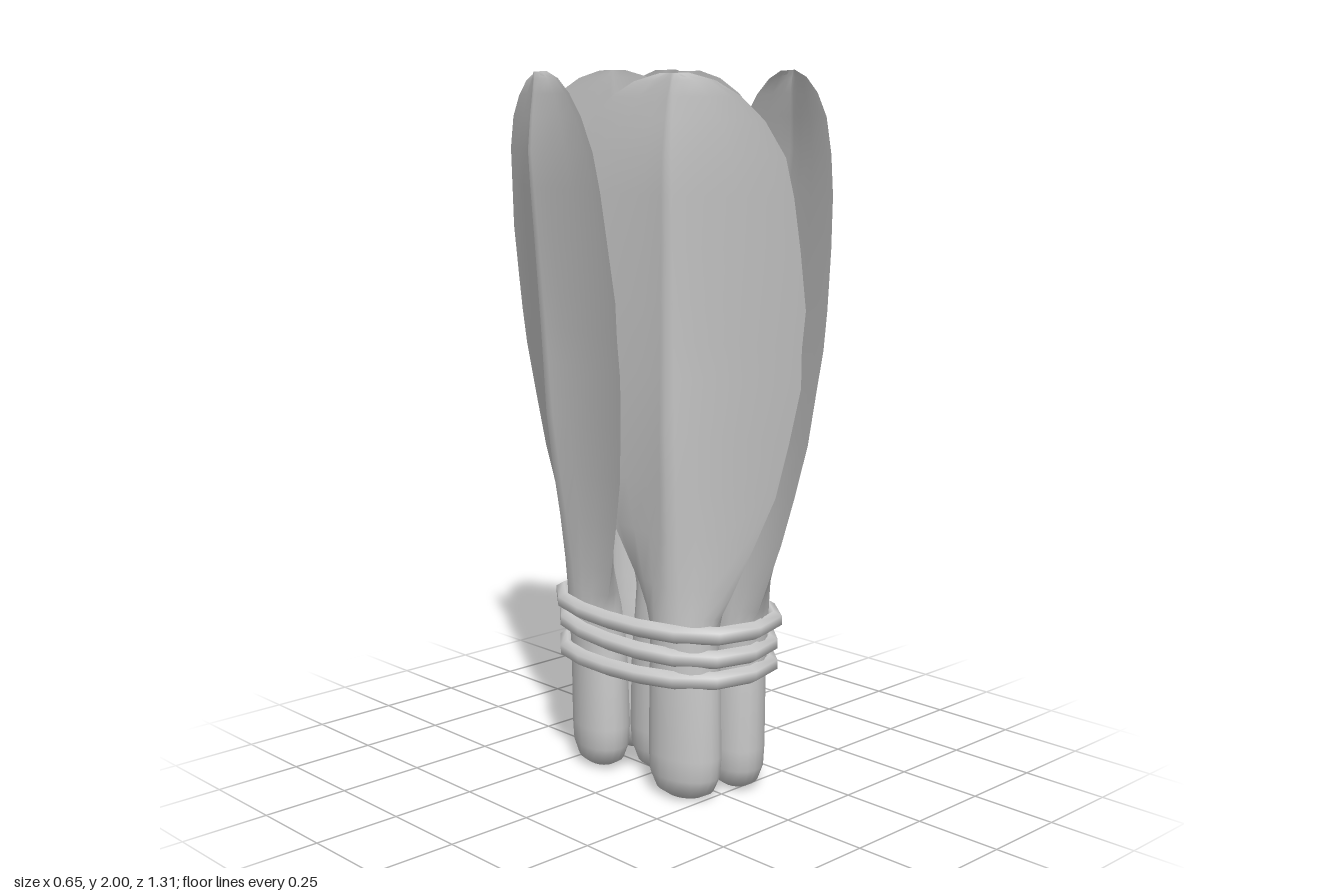
import * as THREE from 'three';
import { toCreasedNormals } from 'three/addons/utils/BufferGeometryUtils.js';

const material = new THREE.MeshStandardMaterial({ color: 0xcccccc, side: THREE.DoubleSide });

// base: foot of the stalk [x, z]; from/to: the blade's two side edges seen from above;
// fold: how far the midrib bulges out of the line between the edges; top: height of the tip
const leaves = [
  { name: 'leftFrontLeaf', base: [0.1, 0.205], from: [-0.05, 0.66], to: [0.325, -0.08], fold: 0.045, top: 1.99 },
  { name: 'rightBackLeaf', base: [-0.065, -0.18], from: [-0.015, -0.61], to: [-0.325, 0.16], fold: 0.05, top: 1.99 },
  { name: 'rightFrontLeaf', base: [-0.07, 0.175], from: [-0.055, 0.58], to: [-0.19, -0.19], fold: -0.035, top: 1.98 },
  { name: 'leftBackLeaf', base: [0.1, -0.215], from: [0.155, 0.1], to: [0.052, -0.66], fold: 0.008, top: 2.0 },
  { name: 'leftLeaf', base: [0.18, 0.0], from: [0.14, 0.27], to: [0.235, -0.52], fold: 0.008, top: 2.0 },
  { name: 'middleLeaf', base: [0.03, -0.015], from: [0.035, 0.41], to: [0.03, -0.31], fold: 0.008, top: 1.99 },
];

// [height, share of the blade's half width, share of the stalk's thickness]
const profile = [
  [0.005, 0, 0.01], [0.008, 0, 0.5], [0.025, 0, 0.78], [0.07, 0, 0.96], [0.13, 0, 1], [0.35, 0, 0.97],
  [0.48, 0.24, 0.92], [0.54, 0.31, 0.86], [0.62, 0.42, 0.79], [0.76, 0.6, 0.67], [0.9, 0.76, 0.56],
  [1.05, 0.88, 0.46], [1.2, 0.96, 0.37], [1.3, 0.985, 0.32], [1.4, 1, 0.28], [1.55, 0.97, 0.22],
  [1.68, 0.92, 0.18], [1.78, 0.85, 0.14], [1.87, 0.71, 0.1], [1.93, 0.53, 0.07], [1.97, 0.33, 0.04], [1.99, 0.12, 0.02],
];
const stalkHalfWidth = 0.112, stalkHalfDepth = 0.08, sectionPoints = 20;

// Joins closed rows of equally many points into a smooth surface with crisp blade edges
function loft(rows) {
  const n = rows[0].length, index = [];
  for (let r = 0; r < rows.length - 1; r++) {
    for (let c = 0; c < n; c++) {
      const a = r * n + c, b = r * n + (c + 1) % n;
      index.push(a, a + n, b, b, a + n, b + n);
    }
  }
  const geometry = new THREE.BufferGeometry();
  geometry.setAttribute('position', new THREE.Float32BufferAttribute(rows.flat(2), 3));
  geometry.setIndex(index);
  return toCreasedNormals(geometry, 1.1);
}

// One leaf: an oval stalk whose section spreads into a thin folded blade with a midrib
function createLeaf({ name, base, from, to, fold, top }, phase) {
  const length = Math.hypot(to[0] - from[0], to[1] - from[1]);
  const d = [(to[0] - from[0]) / length, (to[1] - from[1]) / length];
  const n = [-d[1], d[0]];
  const mid = [(from[0] + to[0]) / 2, (from[1] + to[1]) / 2];

  const rows = profile.map(([y, bladeShare, stalkShare]) => {
    const lean = Math.max(0, (y - 0.3) / 1.2);
    const spread = THREE.MathUtils.smoothstep(y, 0.45, 1.1);
    const bulge = fold * spread * (1 - 0.6 * THREE.MathUtils.smoothstep(y, 1.75, 2));
    const r = stalkHalfWidth * stalkShare;
    return Array.from({ length: sectionPoints }, (_, i) => {
      const a = i / sectionPoints * Math.PI * 2;
      const u = Math.cos(a), v = Math.sin(a);
      // slightly wavy edge
      const wave = 1 + 0.012 * Math.sin(y * 21 + phase + Math.sign(u));
      const w = Math.max(r, bladeShare * wave * length / 2);
      const across = u * r + (w - r) * Math.sign(u) * Math.abs(u) ** 3;
      const rib = stalkHalfDepth * stalkShare * Math.sign(v) * Math.abs(v) ** (1 + 2 * spread);
      const off = rib + bulge * Math.max(0, 1 - Math.abs(across) / w) ** 1.4;
      const [x, z] = [0, 1].map((k) => THREE.MathUtils.lerp(base[k], mid[k], lean) + d[k] * across + n[k] * off);
      return [x, y * top / 1.99, z];
    });
  });
  const mesh = new THREE.Mesh(loft(rows), material);
  mesh.name = name;
  return mesh;
}

// Rounded oval tie around the stalks
function createTie(y, rx, rz, tilt) {
  const swell = (s) => Math.sign(s) * Math.abs(s) ** 0.85;
  const corners = Array.from({ length: 14 }, (_, i) => {
    const a = i / 14 * Math.PI * 2;
    const z = swell(Math.cos(a)) * rz;
    return new THREE.Vector3(0.037 + swell(Math.sin(a)) * rx, y + tilt * z, z - 0.014);
  });
  const curve = new THREE.CatmullRomCurve3(corners, true);
  const mesh = new THREE.Mesh(new THREE.TubeGeometry(curve, 16, 0.026, 6, true), material);
  mesh.name = 'tie';
  return mesh;
}

export function createModel() {
  const model = new THREE.Group();
  model.name = 'leafBundle';
  leaves.forEach((leaf, i) => model.add(createLeaf(leaf, i * 1.7)));
  model.add(createTie(0.355, 0.22, 0.335, 0.025));
  model.add(createTie(0.43, 0.22, 0.335, -0.025));
  model.add(createTie(0.492, 0.22, 0.35, 0));
  return model;
}
